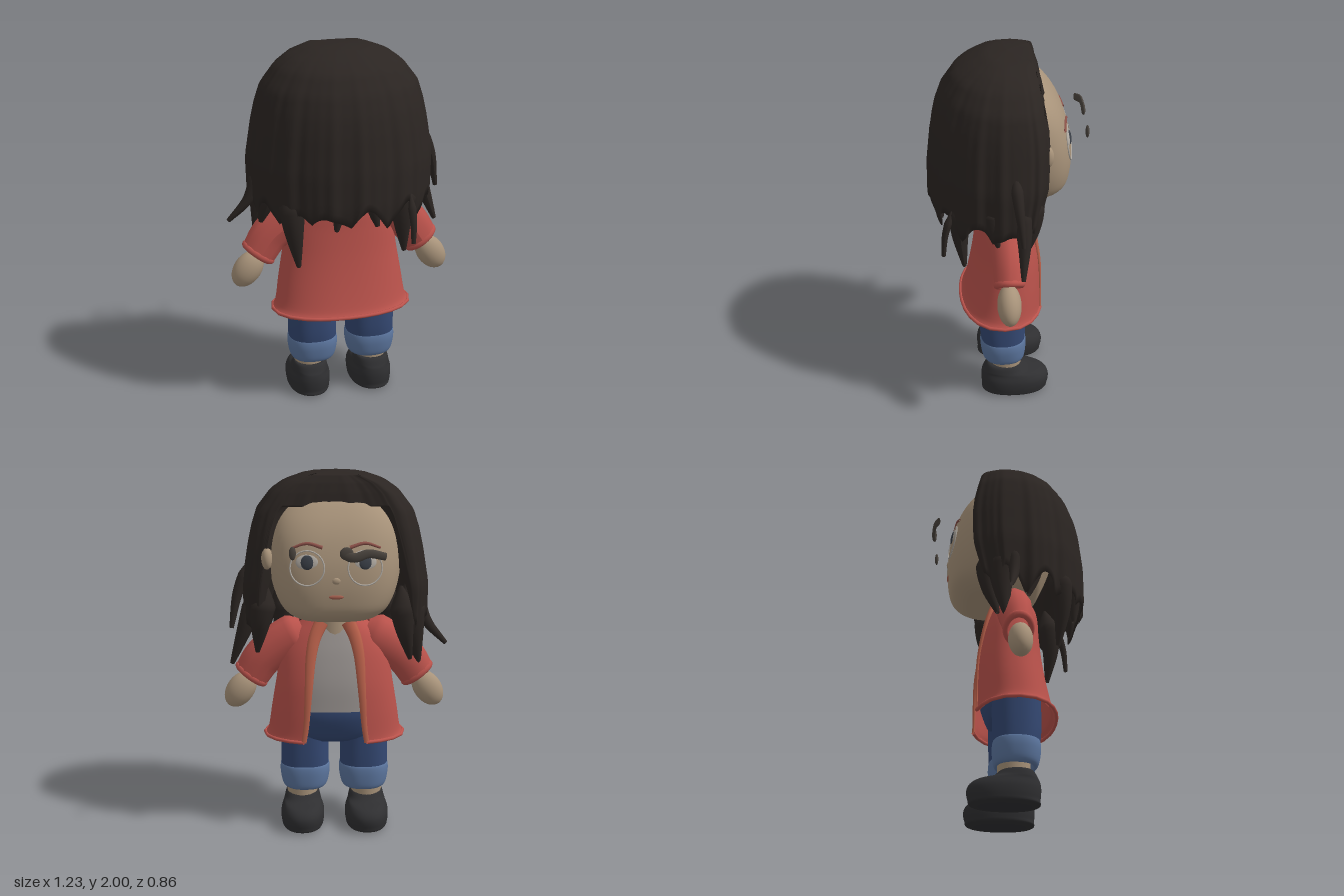
import * as THREE from 'three';

const COLORS = { hair: 0x2b2522, skin: 0xa8937a, coat: 0xb9524b, lapel: 0xb8604a, shirt: 0x98928f, jeans: 0x344872,
  cuff: 0x5c769f, shoe: 0x2f2f31, eye: 0x3a3f47, white: 0xb0aaa2, brow: 0x8a5048, lips: 0xa5604f, frame: 0x4a443e };
const mats = {};
const mat = (c) => (mats[c] ??= new THREE.MeshStandardMaterial({ color: COLORS[c], side: THREE.DoubleSide }));

function add(parent, name, geometry, color, x = 0, y = 0, z = 0) {
  const m = new THREE.Mesh(geometry, mat(color));
  m.name = name;
  m.position.set(x, y, z);
  parent.add(m);
  return m;
}

// Smooth surface from a rule fn(u, v) -> [x, y, z]
function grid(nu, nv, closed, fn) {
  const pos = [], idx = [], cols = closed ? nu : nu + 1;
  for (let j = 0; j <= nv; j++)
    for (let i = 0; i < cols; i++) pos.push(...fn(i / nu, j / nv));
  for (let j = 0; j < nv; j++)
    for (let i = 0; i < nu; i++) {
      const a = j * cols + i, b = j * cols + ((i + 1) % cols);
      idx.push(a, b, b + cols, a, b + cols, a + cols);
    }
  const g = new THREE.BufferGeometry();
  g.setAttribute('position', new THREE.Float32BufferAttribute(pos, 3));
  g.setIndex(idx);
  g.computeVertexNormals();
  return g;
}

const bend = (s, p) => Math.sign(s) * Math.abs(s) ** p;

// Returns at(theta, t) on a body of rounded sections; rows are [y, half width, z front, z back]
function sections(rows, p) {
  const curve = (f) => new THREE.CatmullRomCurve3(rows.map(f), false, 'catmullrom');
  const a = curve((r) => new THREE.Vector3(r[0], r[1], r[2]));
  const b = curve((r) => new THREE.Vector3(r[3], 0, 0));
  return (th, t) => {
    const s = a.getPoint(t), back = b.getPoint(t).x;
    return [s.y * bend(Math.sin(th), p), s.x, (s.z + back) / 2 + ((back - s.z) / 2) * bend(Math.cos(th), p)];
  };
}

function loft(rows, p, gap = 0) {
  const at = sections(rows, p);
  return grid(64, rows.length * 4, gap === 0, (u, v) => at((u * 2 - 1) * (Math.PI - gap), v));
}

// Tapered tube through points, with a radius at each end, a flattening factor for depth and a rounded root
function taper(points, r0, r1, flat = 1, root = 1) {
  const c = new THREE.CatmullRomCurve3(points.map((q) => new THREE.Vector3(...q)));
  const g = new THREE.TubeGeometry(c, 20, 1, 12, false), P = g.attributes.position, q = new THREE.Vector3();
  for (let i = 0; i < P.count; i++) {
    const t = Math.floor(i / 13) / 20, o = c.getPointAt(t);
    const r = THREE.MathUtils.lerp(r0, r1, t ** 1.4) * Math.min(1, root + t * 3);
    q.fromBufferAttribute(P, i).sub(o).multiplyScalar(r);
    P.setXYZ(i, o.x + q.x, o.y + q.y, o.z + q.z * flat);
  }
  g.computeVertexNormals();
  return g;
}

function blob(parent, name, color, p, s) {
  const m = add(parent, name, new THREE.SphereGeometry(1, 24, 16), color, ...p);
  m.scale.set(...s);
  return m;
}

// Hair outline: [y, half width, front depth, back depth]
const HAIR = [[2, 0, 0, 0], [1.99, 0.16, 0.13, 0.11], [1.95, 0.27, 0.15, 0.2], [1.9, 0.34, 0.165, 0.28], [1.8, 0.415, 0.185, 0.345],
  [1.7, 0.445, 0.205, 0.38], [1.6, 0.465, 0.215, 0.4], [1.4, 0.495, 0.21, 0.42], [1.2, 0.49, 0.16, 0.42], [1, 0.46, 0.11, 0.38]];
function hairAt(y) {
  let i = 0;
  while (i < HAIR.length - 2 && HAIR[i + 1][0] > y) i++;
  const k = (HAIR[i][0] - y) / (HAIR[i][0] - HAIR[i + 1][0]);
  return HAIR[i].map((h, n) => THREE.MathUtils.lerp(h, HAIR[i + 1][n], k));
}

// Thick hair shell: short above the face, ragged at the sides and back
function hairShell() {
  const { smoothstep, lerp } = THREE.MathUtils;
  return grid(200, 60, true, (u, v) => {
    const th = (u * 2 - 1) * Math.PI, a = Math.PI - Math.abs(th);
    const ends = 1.1 + 0.09 * Math.abs(Math.sin(7 * th + 0.4)) + 0.03 * Math.sin(11 * th + 1);
    const end = lerp(1.83, ends, smoothstep(a, 0.74, 1));
    const t = 1 - Math.abs(v * 2 - 1);
    const y = 2 - (2 - end) * t ** 1.7;
    const [, w, f, b] = hairAt(y);
    const ridge = 1 + t * (0.014 * Math.sin(14 * th) + 0.01 * Math.sin(23 * th + 1) + 0.006 * Math.sin(41 * th));
    const inner = v < 0.5 ? 1 - 0.18 * Math.min(1, (0.5 - v) * 8) : 1;
    const c = Math.cos(th), s = Math.sin(th), k = ridge * inner;
    // The sides swell forward beside the parting, the right one more
    const swell = 1 + (s < 0 ? 0.27 : 0.1) * Math.exp(-(((a - 0.95) / 0.3) ** 2));
    const x = w * (c > 0 ? s : bend(s, lerp(1, 0.8, -c)));
    return [x * k, y - (v < 0.5 ? 0.05 * (1 - t) : 0), (c > 0 ? b * c : -f * swell * Math.sqrt(-c)) * k];
  });
}

export function createModel() {
  const root = new THREE.Group();
  root.name = 'doll';
  const group = (name) => {
    const g = new THREE.Group();
    g.name = name;
    root.add(g);
    return g;
  };

  // Head and face, looking toward -z
  const head = group('head');
  add(head, 'face', loft([[1.21, 0, -0.1, -0.1], [1.22, 0.15, -0.2, 0.04], [1.24, 0.22, -0.26, 0.1], [1.29, 0.28, -0.312, 0.16],
    [1.37, 0.32, -0.331, 0.2], [1.47, 0.345, -0.335, 0.24], [1.58, 0.355, -0.322, 0.27], [1.7, 0.345, -0.285, 0.26],
    [1.8, 0.3, -0.225, 0.22], [1.88, 0.2, -0.14, 0.16], [1.92, 0, 0, 0]], 0.7), 'skin');
  add(head, 'neck', new THREE.CylinderGeometry(0.1, 0.11, 0.25, 24), 'skin', 0, 1.16, 0.02);
  for (const s of [-1, 1]) {
    blob(head, 'eyeWhite', 'white', [s * 0.15, 1.565, -0.31], [0.06, 0.042, 0.01]).rotation.set(0.15, s * -0.16, 0);
    blob(head, 'iris', 'eye', [s * 0.15, 1.565, -0.314], [0.036, 0.038, 0.011]).rotation.set(0.15, s * -0.16, 0);
    add(head, 'eyebrow', taper([[s * 0.07, 1.64, -0.303], [s * 0.15, 1.66, -0.291], [s * 0.23, 1.635, -0.281]], 0.01, 0.006), 'brow');
    add(head, 'lensRim', new THREE.TorusGeometry(0.09, 0.004, 8, 32), 'white', s * 0.15, 1.535, -0.315).rotation.set(0.15, s * -0.17, 0);
  }
  blob(head, 'ear', 'skin', [0.36, 1.56, -0.175], [0.03, 0.06, 0.035]);
  blob(head, 'mouth', 'lips', [0, 1.385, -0.331], [0.04, 0.012, 0.008]);
  blob(head, 'nose', 'skin', [0, 1.47, -0.332], [0.022, 0.018, 0.01]);

  // Loose pieces of a spectacle frame in front of the face
  const frame = group('spectacleFrame');
  add(frame, 'frameBridge', taper([[-0.02, 1.63, -0.41], [-0.09, 1.61, -0.42], [-0.16, 1.63, -0.415], [-0.25, 1.61, -0.395]], 0.026, 0.02, 0.4, 0.5), 'frame');
  blob(frame, 'frameBridgeEnd', 'frame', [-0.05, 1.63, -0.413], [0.035, 0.034, 0.01]);
  blob(frame, 'frameTip', 'frame', [0.225, 1.63, -0.397], [0.018, 0.035, 0.01]);

  // Hair with separate hanging locks
  const hair = group('hair');
  add(hair, 'hairShell', hairShell(), 'hair');
  const locks = [
    [[-0.43, 1.4, 0], [-0.5, 1.18, 0], [-0.61, 1.05, -0.02], 0.045],
    [[-0.39, 1.4, -0.05], [-0.42, 1.17, -0.06], [-0.46, 0.94, -0.04], 0.1],
    [[-0.32, 1.35, 0.24], [-0.31, 1.1, 0.27], [-0.28, 0.86, 0.25], 0.085],
    [[0.3, 1.35, 0.24], [0.28, 1.12, 0.27], [0.3, 0.9, 0.25], 0.085],
    [[0.43, 1.55, 0], [0.52, 1.35, -0.02], [0.56, 1.15, -0.04], 0.04],
    [[0.4, 1.4, -0.03], [0.48, 1.17, -0.05], [0.56, 0.95, -0.04], 0.065],
    [[0.37, 1.4, -0.09], [0.4, 1.2, -0.1], [0.42, 1.02, -0.06], 0.085],
    [[-0.35, 1.4, -0.13], [-0.37, 1.18, -0.13], [-0.41, 0.98, -0.08], 0.08],
    [[-0.39, 1.35, 0.1], [-0.42, 1.2, 0.1], [-0.45, 1.07, 0.08], 0.08],
    [[0.39, 1.35, 0.1], [0.42, 1.2, 0.1], [0.42, 1.08, 0.08], 0.08],
    [[0.31, 1.25, 0.31], [0.32, 1.1, 0.35], [0.32, 0.98, 0.36], 0.025],
    [[-0.1, 1.35, 0.34], [-0.09, 1.2, 0.36], [-0.1, 1.09, 0.36], 0.06],
    [[0.11, 1.35, 0.34], [0.1, 1.2, 0.36], [0.12, 1.1, 0.36], 0.06],
  ];
  locks.forEach(([a, b, c, r]) => add(hair, 'hairLock', taper([a, b, c], r, 0.012, 0.9, 0.1), 'hair'));

  // Open coat over a shirt
  const body = group('body');
  const coat = [[0.53, 0.385, -0.19, 0.26], [0.57, 0.365, -0.188, 0.24], [0.7, 0.345, -0.185, 0.21], [0.85, 0.32, -0.175, 0.185],
    [1, 0.295, -0.145, 0.17], [1.1, 0.25, -0.115, 0.165], [1.17, 0.18, -0.09, 0.15], [1.21, 0.13, -0.07, 0.11]];
  const inset = (d) => coat.map(([y, w, f, b]) => [y, w - d, f + d, b - d]);
  const gap = 0.42, coatAt = sections(coat, 0.9);
  add(body, 'coat', loft(coat, 0.9, gap), 'coat');
  add(body, 'coatLining', loft(inset(0.018), 0.9, gap), 'coat');
  add(body, 'shirt', loft(inset(0.022).slice(2), 0.9), 'shirt');
  const hem = [];
  for (let i = 0; i <= 24; i++) hem.push(coatAt((i / 12 - 1) * (Math.PI - gap), 0));
  add(body, 'coatHem', taper(hem, 0.01, 0.01), 'coat');
  for (const s of [-1, 1]) {
    const edge = [0, 0.2, 0.4, 0.6, 0.75, 0.9].map((t) => coatAt(s * (Math.PI - gap), t));
    add(body, 'lapel', taper(edge, 0.014, 0.038, 0.5), 'lapel');
  }
  add(body, 'hips', loft([[0.5, 0.2, -0.07, 0.13], [0.54, 0.29, -0.11, 0.17], [0.65, 0.3, -0.15, 0.17], [0.74, 0.29, -0.155, 0.15]], 0.9), 'jeans');

  for (const s of [-1, 1]) {
    // Arm: short wide sleeve and mitten hand
    const arm = group(s > 0 ? 'leftArm' : 'rightArm');
    add(arm, 'sleeve', taper([[s * 0.16, 1.12, 0.02], [s * 0.29, 1.05, 0.02], [s * 0.39, 0.97, 0.02], [s * 0.46, 0.865, 0.025]], 0.125, 0.1, 0.8, 0.6), 'coat');
    const cuff = add(arm, 'sleeveCuff', new THREE.TorusGeometry(0.085, 0.02, 10, 28), 'coat', s * 0.458, 0.87, 0.025);
    cuff.lookAt(s * 1.0, 0.15, 0.025);
    cuff.scale.set(0.8, 1, 1);
    blob(arm, 'hand', 'skin', [s * 0.52, 0.78, 0.03], [0.077, 0.112, 0.064]).rotation.z = s * 0.6;

    // Leg: jeans with turned-up cuff, ankle and round shoe
    const leg = group(s > 0 ? 'leftLeg' : 'rightLeg');
    leg.position.x = s * 0.165;
    add(leg, 'trouserLeg', loft([[0.32, 0.133, -0.085, 0.155], [0.42, 0.133, -0.09, 0.165], [0.6, 0.13, -0.095, 0.165]], 0.85), 'jeans');
    add(leg, 'trouserCuff', loft([[0.24, 0.06, -0.05, 0.11], [0.215, 0.1, -0.07, 0.13], [0.235, 0.125, -0.085, 0.15], [0.3, 0.138, -0.092, 0.162],
      [0.345, 0.136, -0.09, 0.16], [0.36, 0.125, -0.08, 0.15]], 0.85), 'cuff');
    add(leg, 'ankle', new THREE.CylinderGeometry(0.088, 0.082, 0.14, 24), 'skin', s * 0.015, 0.19, 0.02);
    add(leg, 'shoe', loft([[0, 0, -0.03, -0.03], [0.005, 0.1, -0.19, 0.14], [0.035, 0.118, -0.215, 0.155], [0.09, 0.12, -0.22, 0.16],
      [0.13, 0.107, -0.185, 0.155], [0.15, 0.1, -0.1, 0.145], [0.185, 0.088, -0.055, 0.125], [0.185, 0.06, -0.03, 0.1]], 0.9), 'shoe', s * 0.015);
  }
  return root;
}
